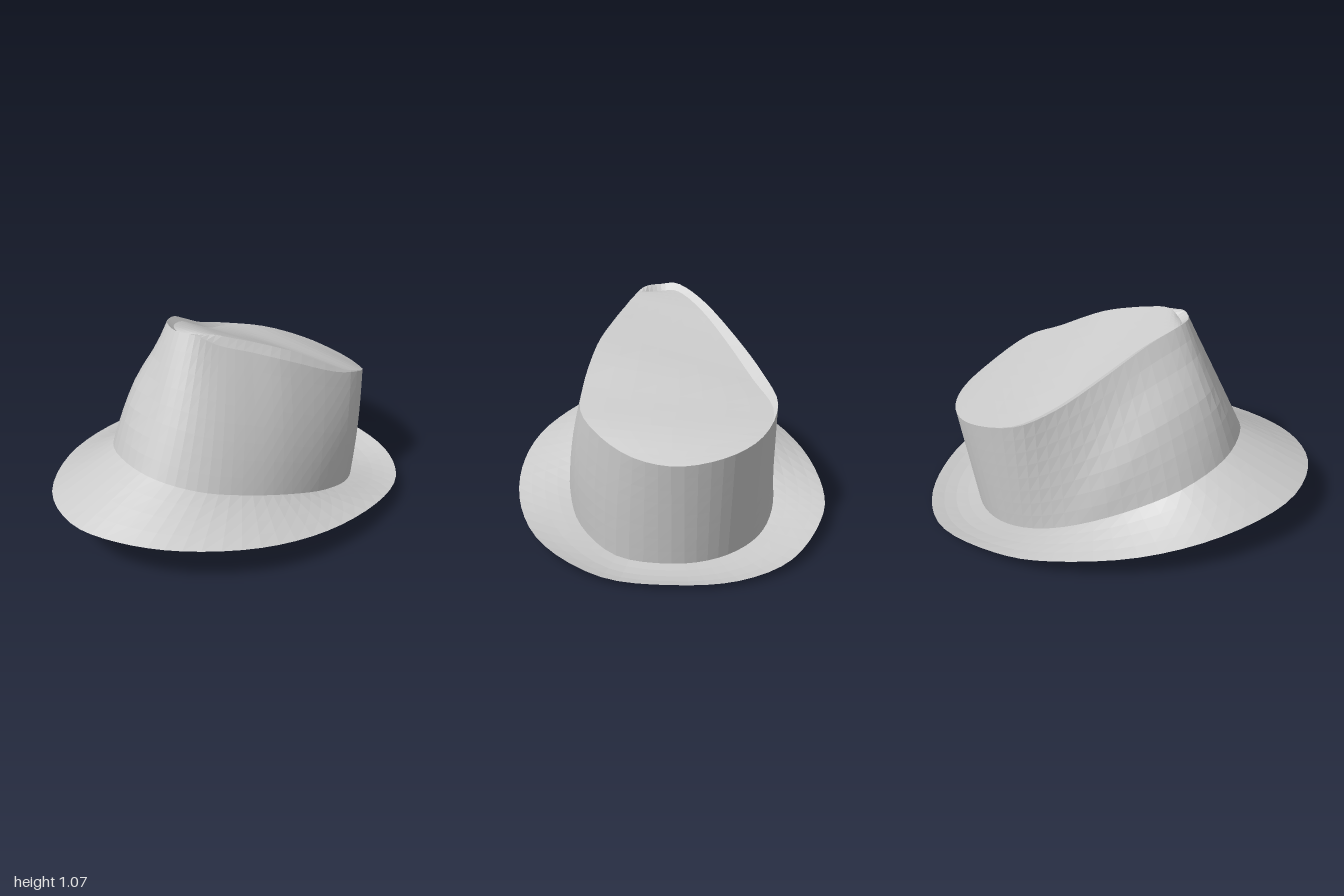
import * as THREE from 'three';

const SEGMENTS = 64;
const { smoothstep } = THREE.MathUtils;

// Closed outlines [x, y, z], all running front -> +x side -> back -> -x side
const brimEdge = closedCurve([
  [0.1, 0.25, 1], [0.36, 0.25, 0.91], [0.58, 0.225, 0.69], [0.75, 0.19, 0.35],
  [0.8, 0.15, -0.03], [0.74, 0.115, -0.43], [0.58, 0.075, -0.74], [0.29, 0.035, -0.95],
  [-0.04, 0.03, -1], [-0.35, 0.03, -0.95], [-0.6, 0.05, -0.78], [-0.76, 0.085, -0.45],
  [-0.795, 0.115, -0.15], [-0.715, 0.155, 0.27], [-0.52, 0.2, 0.64], [-0.22, 0.235, 0.92],
]);

// Crown base: a tilted oval, lower on the -x side
const crownBase = closedCurve([
  [0.1, 0.42, 0.63], [0.28, 0.4, 0.57], [0.42, 0.355, 0.42], [0.5, 0.295, 0.2],
  [0.53, 0.225, -0.03], [0.51, 0.14, -0.28], [0.43, 0.07, -0.52], [0.24, 0.012, -0.71],
  [-0.03, 0.008, -0.77], [-0.25, 0.01, -0.71], [-0.42, 0.03, -0.57], [-0.51, 0.065, -0.38],
  [-0.535, 0.13, -0.15], [-0.49, 0.235, 0.14], [-0.365, 0.335, 0.41], [-0.15, 0.4, 0.585],
]);

const crownRim = closedCurve([
  [0.07, 1.07, 0.34], [0.16, 1.065, 0.29], [0.23, 1.01, 0.2], [0.3, 0.955, 0.05],
  [0.37, 0.88, -0.13], [0.415, 0.755, -0.4], [0.39, 0.685, -0.61], [0.2, 0.59, -0.78],
  [-0.03, 0.555, -0.85], [-0.27, 0.575, -0.8], [-0.45, 0.62, -0.65], [-0.53, 0.685, -0.4],
  [-0.46, 0.77, -0.2], [-0.33, 0.89, -0.01], [-0.17, 1.015, 0.18], [-0.03, 1.075, 0.32],
]);

function closedCurve(points) {
  return new THREE.CatmullRomCurve3(points.map((p) => new THREE.Vector3(...p)), true, 'catmullrom', 0.5);
}

// Inner line of the rim: rises on the +x side, sinks on the -x side, merges at the back
function innerRim(u) {
  const p = crownRim.getPoint(u);
  const amount = smoothstep(p.z, -0.65, -0.1);
  p.y += amount * THREE.MathUtils.lerp(-0.03, 0.035, smoothstep(p.x, 0.12, 0.24));
  p.x += (0.03 - p.x) * 0.1 * amount;
  p.z -= 0.035 * amount;
  return p;
}

// Ring sampled from a function of u
function ring(fn) {
  return Array.from({ length: SEGMENTS + 1 }, (_, j) => fn(j / SEGMENTS));
}

// Surface through equal-length rows of points
function loft(name, rows, material) {
  const width = rows[0].length;
  const index = [];
  for (let i = 0; i < rows.length - 1; i++) {
    for (let j = 0; j < width - 1; j++) {
      const a = i * width + j;
      index.push(a, a + 1, a + width + 1, a, a + width + 1, a + width);
    }
  }
  const geometry = new THREE.BufferGeometry().setFromPoints(rows.flat());
  geometry.setIndex(index);
  geometry.computeVertexNormals();
  const mesh = new THREE.Mesh(geometry, material);
  mesh.name = name;
  return mesh;
}

// Rows blended between two outlines, with an offset rule for the cross-section
function between(curveA, curveB, steps, adjust) {
  return Array.from({ length: steps + 1 }, (_, i) => {
    const t = i / steps;
    return ring((u) => adjust(curveA.getPoint(u).lerp(curveB.getPoint(u), t), Math.sin(Math.PI * t)));
  });
}

export function createModel() {
  const hat = new THREE.Group();
  hat.name = 'hat';
  const felt = new THREE.MeshStandardMaterial({ color: 0xcccccc, flatShading: true, side: THREE.DoubleSide });

  // Brim: dips at the front, turns up slightly at the back
  hat.add(loft('brim', between(brimEdge, crownBase, 4, (p, s) => {
    p.y -= 0.012 * s * smoothstep(-p.z, 0.2, 0.8);
    return p;
  }), felt));

  // Crown wall: tapers to a pinched front, fuller at the sides and front corner
  hat.add(loft('crownWall', between(crownBase, crownRim, 8, (p, s) => {
    const corner = s * smoothstep((p.z - p.x) * Math.SQRT1_2, 0.27, 0.4);
    p.x *= 1 + 0.04 * s * smoothstep(p.x, 0, 0.3);
    p.x -= 0.025 * corner;
    p.z += 0.02 * corner;
    return p;
  }), felt));

  // Narrow lip around the top
  hat.add(loft('crownLip', [ring((u) => crownRim.getPoint(u)), ring(innerRim)], felt));

  // Sloping top, spanned from the -x side to the +x side
  const topRows = [];
  for (let i = 0; i <= SEGMENTS / 2; i++) {
    const u = i / SEGMENTS;
    const start = innerRim(1 - u), end = innerRim(u);
    topRows.push(Array.from({ length: 9 }, (_, k) => start.clone().lerp(end, k / 8)));
  }
  hat.add(loft('crownTop', topRows, felt));

  return hat;
}
